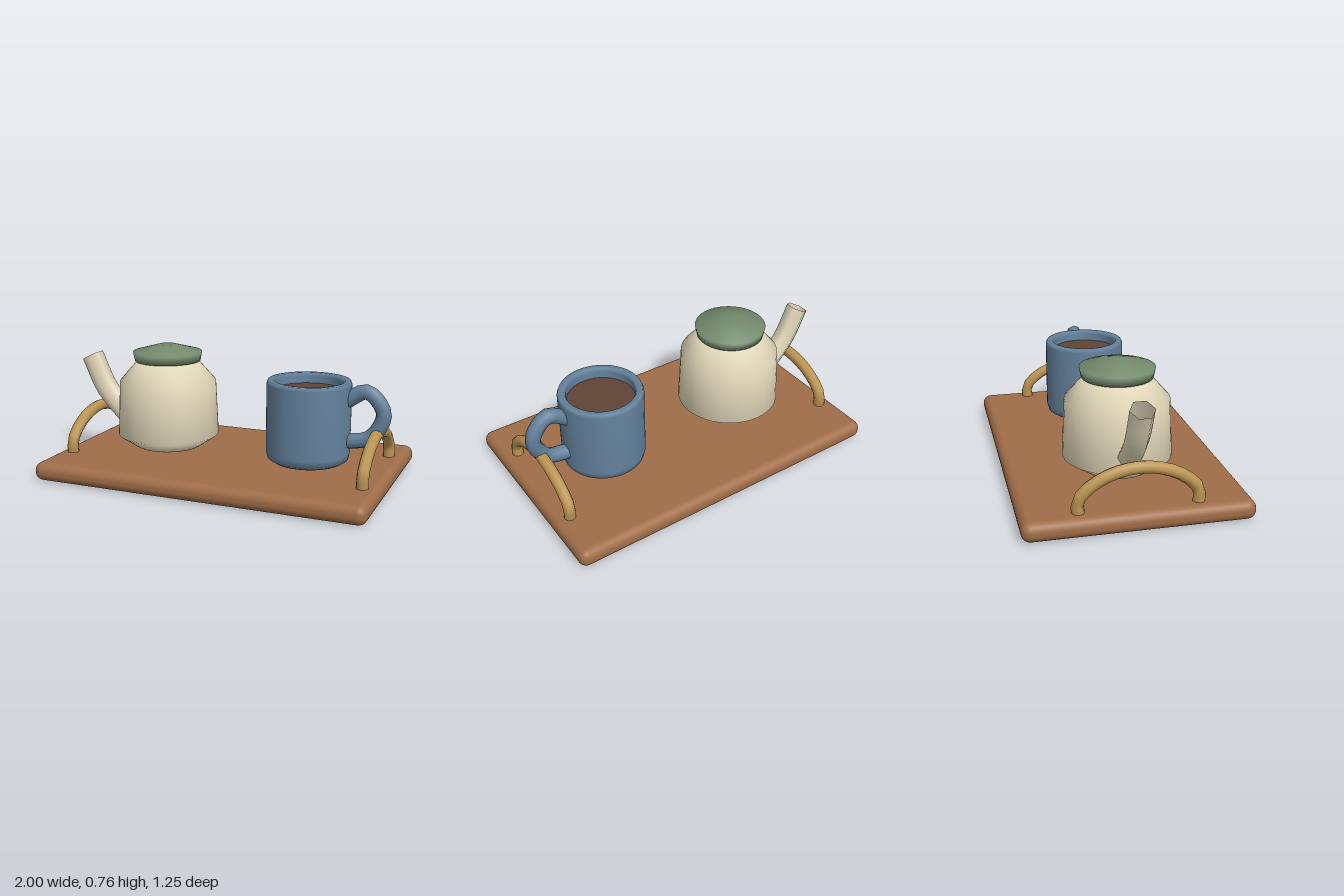
import * as THREE from 'three';
import { RoundedBoxGeometry } from 'three/addons/geometries/RoundedBoxGeometry.js';

const paint = (color, side = THREE.FrontSide) => new THREE.MeshStandardMaterial({ color, side });
const WOOD = paint(0xa06d48);
const BRASS = paint(0xbc9552);
const CREAM = paint(0xe2d8ba, THREE.DoubleSide);
const GREEN = paint(0x738a6c);
const BLUE = paint(0x64829d, THREE.DoubleSide);
const COFFEE = paint(0x5f4435);

function part(name, geometry, material, parent, x = 0, y = 0, z = 0) {
  const mesh = new THREE.Mesh(geometry, material);
  mesh.name = name;
  mesh.position.set(x, y, z);
  parent.add(mesh);
  return mesh;
}

// Profile given as [radius, height] from bottom to top
const lathe = (profile) =>
  new THREE.LatheGeometry(profile.map(([r, y]) => new THREE.Vector2(r, y)), 40);

// Bent round bar through [x, y, z] points
const bar = (points, radius, steps, sides) =>
  new THREE.TubeGeometry(
    new THREE.CatmullRomCurve3(points.map((p) => new THREE.Vector3(...p))), steps, radius, sides);

export function createModel() {
  const model = new THREE.Group();
  model.name = 'teaTray';

  // Tray board with rounded rim
  part('trayBoard', new RoundedBoxGeometry(2, 0.11, 1.25, 4, 0.05), WOOD, model, 0, 0.055, 0);

  // Arched carrying handles at both ends
  const half = [[0, 0.09, 0.32], [0, 0.17, 0.325], [0, 0.23, 0.28], [0, 0.295, 0.175], [0, 0.327, 0.05]];
  const arch = [...half, ...half.map(([x, y, z]) => [x, y, -z]).reverse()];
  for (const side of [-1, 1]) {
    part(side < 0 ? 'rightTrayHandle' : 'leftTrayHandle', bar(arch, 0.035, 16, 8), BRASS, model, side * 0.905);
  }

  // Teapot: body, lid and spout
  const teapot = new THREE.Group();
  teapot.name = 'teapot';
  teapot.position.x = -0.41;
  model.add(teapot);
  part('teapotBody', lathe([[0, 0.13], [0.2, 0.13], [0.31, 0.205], [0.295, 0.535], [0.185, 0.66], [0, 0.665]]),
    CREAM, teapot);
  part('teapotLid', lathe([[0, 0.66], [0.2, 0.66], [0.211, 0.715], [0.06, 0.757], [0, 0.757]]), GREEN, teapot);
  part('teapotSpout', bar([[-0.27, 0.28, 0], [-0.43, 0.45, 0], [-0.53, 0.655, 0]], 0.068, 10, 6), CREAM, teapot);

  // Mug: hollow cup, drink and handle
  const mug = new THREE.Group();
  mug.name = 'mug';
  mug.position.x = 0.495;
  model.add(mug);
  part('mugCup', lathe([
    [0, 0.13], [0.205, 0.13], [0.236, 0.15], [0.246, 0.19], [0.246, 0.59], [0.238, 0.61],
    [0.205, 0.61], [0.195, 0.59], [0.195, 0.2], [0, 0.2],
  ]), BLUE, mug);
  const drink = part('mugDrink', new THREE.CircleGeometry(0.196, 40), COFFEE, mug, 0, 0.55, 0);
  drink.rotation.x = -Math.PI / 2;
  part('mugHandle', bar([
    [0.215, 0.5, 0], [0.34, 0.567, 0], [0.44, 0.45, 0], [0.37, 0.305, 0], [0.215, 0.265, 0],
  ], 0.045, 18, 8), BLUE, mug);

  return model;
}
